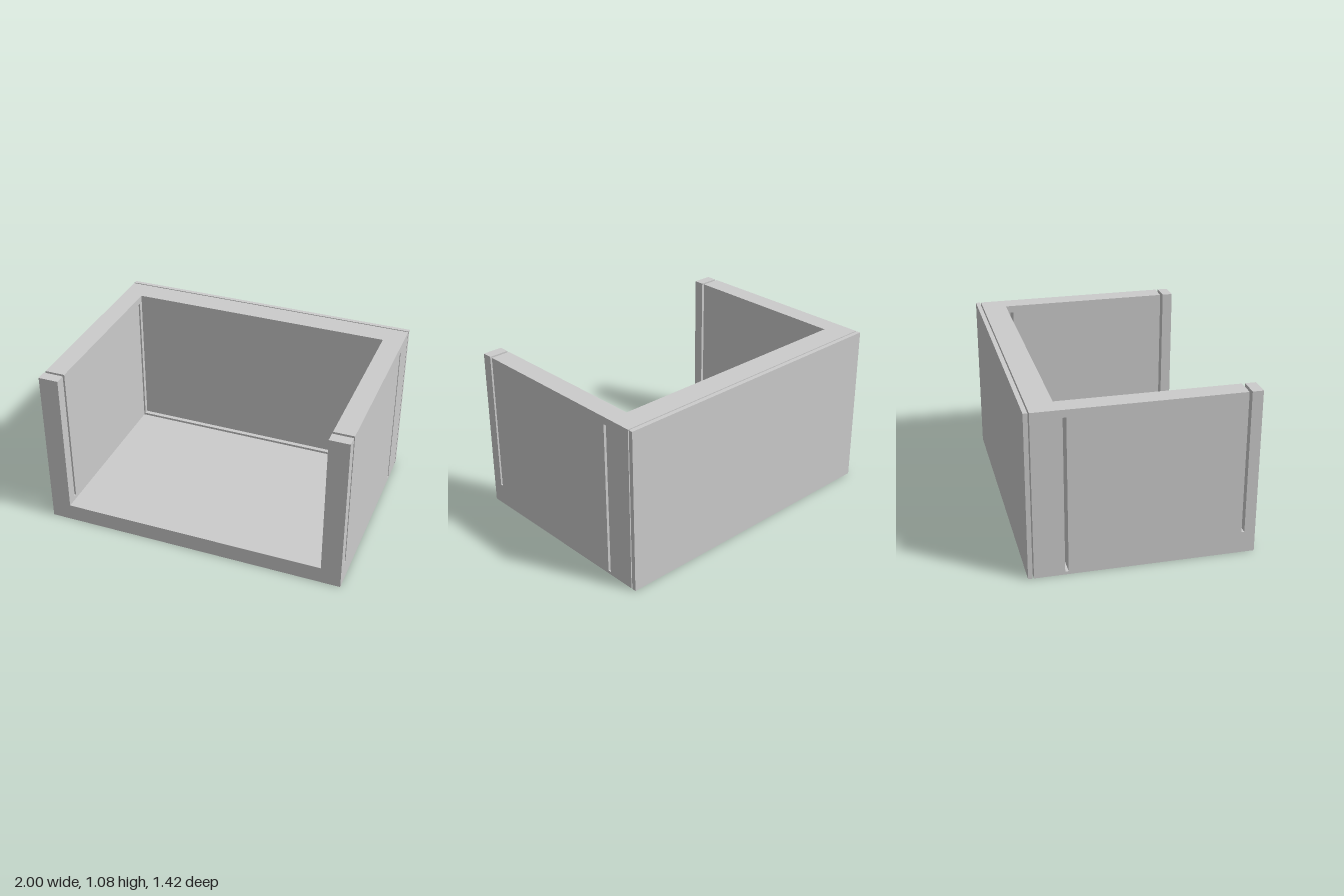
import * as THREE from 'three';

const W = 1, H = 1.078, FRONT = 0.711, BACK = -0.711;
const BODY_BACK = -0.675;   // rear of the main body, thin gap behind it
const INNER_X = 0.869, INNER_Z = -0.515, FLOOR_Y = 0.112;
const REAR_SLOT = { z0: -0.485, z1: -0.464, y0: 0.02, y1: 1.03 };
const FRONT_SLOT = { z0: 0.623, z1: 0.642, y0: 0.14 };

const material = new THREE.MeshStandardMaterial({ color: 0xcccccc, flatShading: true });

// Profile given as [z, y] points; rotating the extrusion maps shape x to -z
const points = (pts) => pts.map(([z, y]) => new THREE.Vector2(-z, y));

// Extrude a side profile along x from x0 to x1
function extrudeAlongX(name, profile, x0, x1, hole) {
  const shape = new THREE.Shape(points(profile));
  if (hole) shape.holes.push(new THREE.Path(points(hole)));
  const geometry = new THREE.ExtrudeGeometry(shape, { depth: x1 - x0, bevelEnabled: false });
  geometry.rotateY(Math.PI / 2).translate(x0, 0, 0);
  const mesh = new THREE.Mesh(geometry, material);
  mesh.name = name;
  return mesh;
}

export function createModel() {
  const group = new THREE.Group();
  group.name = 'openBox';
  const r = REAR_SLOT, f = FRONT_SLOT;

  // Side walls: front slot open at the top, rear slot closed all round
  const wall = [
    [BODY_BACK, 0], [FRONT, 0], [FRONT, H], [f.z1, H], [f.z1, f.y0],
    [f.z0, f.y0], [f.z0, H], [BODY_BACK, H],
  ];
  const slot = [[r.z0, r.y0], [r.z0, r.y1], [r.z1, r.y1], [r.z1, r.y0]];
  group.add(extrudeAlongX('leftWall', wall, INNER_X, W, slot));
  group.add(extrudeAlongX('rightWall', wall, -W, -INNER_X, slot));

  // Floor and rear wall, with the rear slot continuing as a floor groove
  const lProfile = [
    [BODY_BACK, 0], [FRONT, 0], [FRONT, FLOOR_Y], [r.z1, FLOOR_Y], [r.z1, r.y0],
    [r.z0, r.y0], [r.z0, FLOOR_Y], [INNER_Z, FLOOR_Y], [INNER_Z, H], [BODY_BACK, H],
  ];
  group.add(extrudeAlongX('floorAndRearWall', lProfile, -INNER_X, INNER_X));

  // Separate thin panel behind the body
  const panelFront = -0.683;
  const panel = [[BACK, 0], [panelFront, 0], [panelFront, H], [BACK, H]];
  group.add(extrudeAlongX('backPanel', panel, -W, W));

  return group;
}
